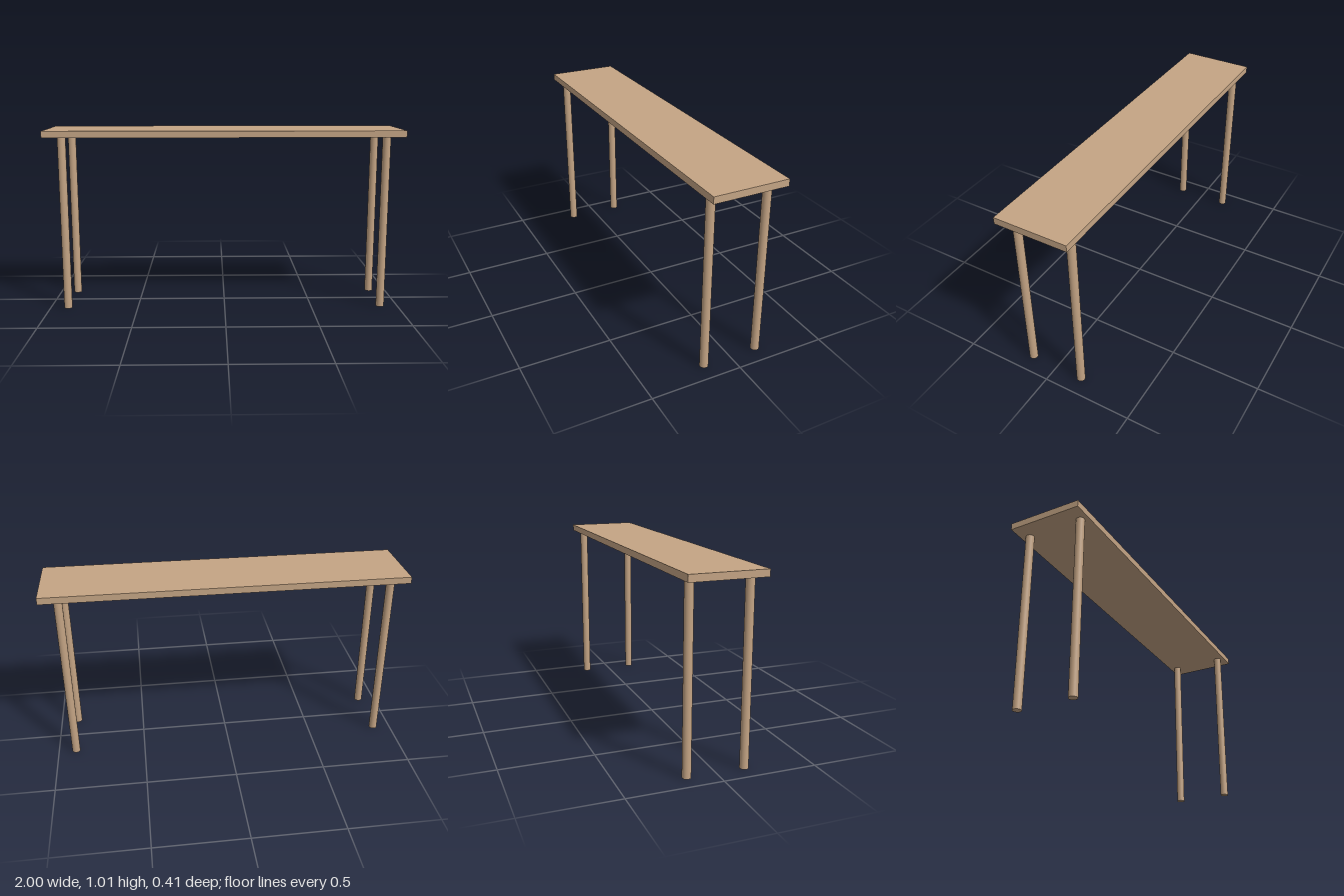
import * as THREE from 'three';

export function createModel() {
  const group = new THREE.Group();
  const wood = new THREE.MeshStandardMaterial({ color: 0xc4a484 });
  const legHeight = 0.978, topThickness = 0.037;

  // Flat rectangular top
  const top = new THREE.Mesh(new THREE.BoxGeometry(2, topThickness, 0.405), wood);
  top.name = 'tableTop';
  top.position.y = legHeight + topThickness / 2;
  group.add(top);

  // Four round legs, inset from the corners
  const legGeometry = new THREE.CylinderGeometry(0.023, 0.023, legHeight, 32);
  for (const [xName, x] of [['Left', 0.9], ['Right', -0.9]]) {
    for (const [zName, z] of [['front', 0.155], ['back', -0.155]]) {
      const leg = new THREE.Mesh(legGeometry, wood);
      leg.name = `${zName}${xName}Leg`;
      leg.position.set(x, legHeight / 2, z);
      group.add(leg);
    }
  }
  return group;
}
